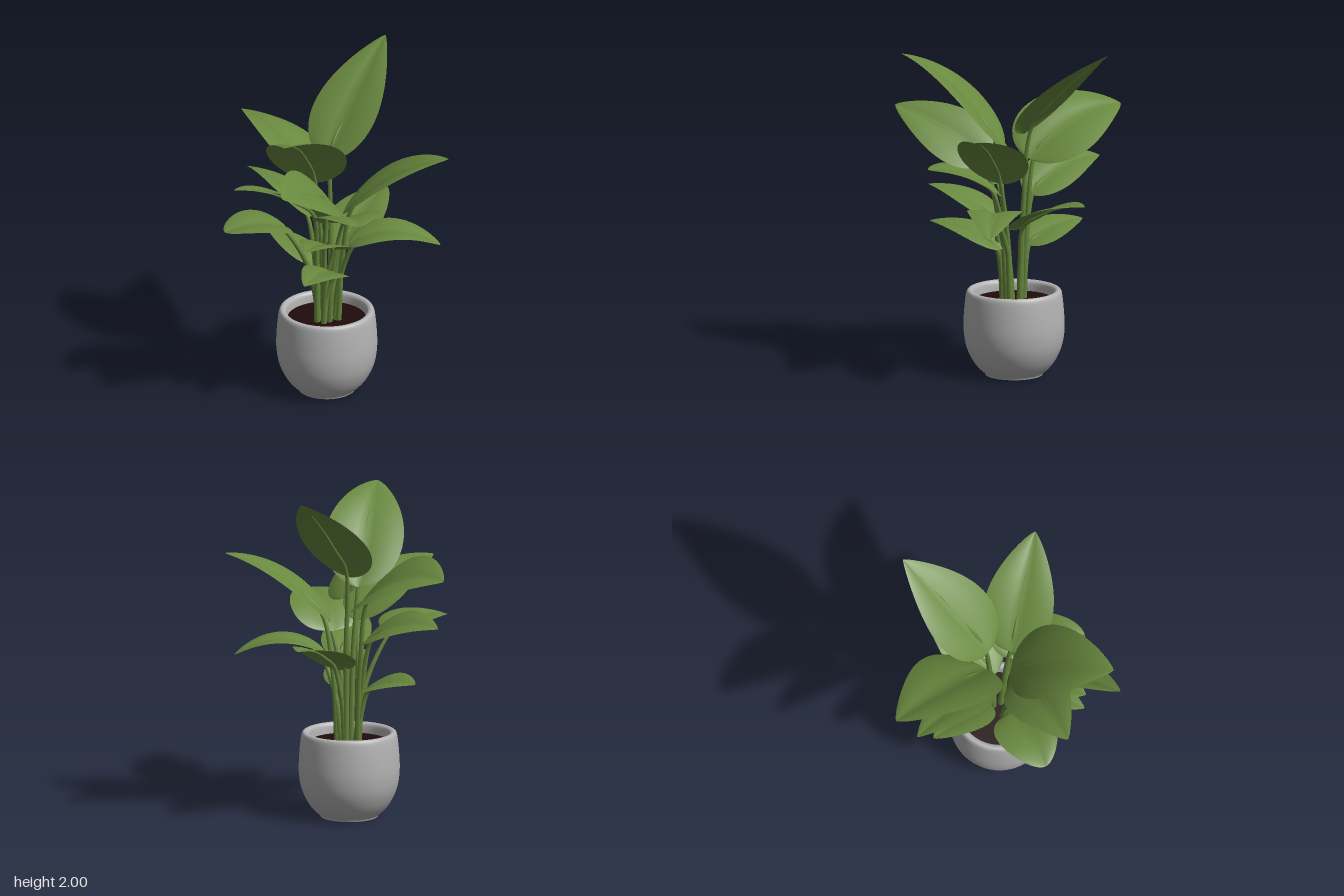
import * as THREE from 'three';

const V = (x, y, z) => new THREE.Vector3(x, y, z);
const UP = V(0, 1, 0);
const CX = 0.03, CZ = 0.075; // pot axis

const mat = (name, color, side = THREE.FrontSide) => {
  const m = new THREE.MeshStandardMaterial({ color, side });
  m.name = name;
  return m;
};

// base point, tip point, full width, arch height, roll (positive lowers the right-hand edge),
// taper (small values give a blunt tip)
const LEAVES = [
  { base: [0.05, 1.44, 0.02], tip: [0.565, 2.0, -0.33], width: 0.43, arch: 0.08, roll: 0, taper: 0.85 },
  { base: [0.01, 1.28, -0.02], tip: [-0.2, 1.52, -0.65], width: 0.53, arch: 0.16, roll: 0.4, taper: 0.75 },
  { base: [-0.05, 1.35, 0.12], tip: [-0.45, 1.85, 0.61], width: 0.46, arch: 0.18, roll: 0.15, taper: 0.8 },
  { base: [0.1, 1.16, 0.17], tip: [0.62, 1.55, 0.51], width: 0.41, arch: 0.14, roll: 0, taper: 0.8 },
  { base: [-0.01, 1.27, 0.22], tip: [-0.48, 1.54, 0.64], width: 0.38, arch: 0.07, roll: -0.6, taper: 0.75 },
  { base: [-0.05, 1.15, 0.18], tip: [-0.63, 1.46, 0.26], width: 0.39, arch: 0.12, roll: 0.2, taper: 0.8 },
  { base: [-0.23, 1.08, 0.08], tip: [-0.63, 1.13, 0.12], width: 0.37, arch: 0.07, roll: 0, taper: 0.55 },
  { base: [0.04, 0.93, 0.18], tip: [-0.28, 1.1, 0.5], width: 0.29, arch: 0.08, roll: 0, taper: 0.8 },
  { base: [0.08, 1.09, 0.18], tip: [0.02, 1.26, 0.6], width: 0.41, arch: 0.1, roll: 0, taper: 0.55 },
  { base: [0.06, 0.76, 0.16], tip: [-0.28, 0.88, 0.49], width: 0.25, arch: 0.08, roll: -0.12, taper: 0.75 },
  { base: [0.12, 0.96, 0.2], tip: [0.61, 0.96, 0.41], width: 0.33, arch: 0.17, roll: 0, taper: 0.65 },
  { base: [-0.02, 1.06, -0.03], tip: [-0.23, 1.21, -0.53], width: 0.32, arch: 0.12, roll: 0.38, taper: 0.8 },
  { base: [0.1, 0.88, 0.08], tip: [0.52, 1.09, -0.2], width: 0.35, arch: 0.1, roll: 0, taper: 0.75 },
  { base: [-0.02, 0.76, -0.01], tip: [-0.15, 0.86, -0.4], width: 0.27, arch: 0.06, roll: 0.25, taper: 0.75 },
];

// Midline of a blade: rises, then flattens towards the tip
function midline({ base, tip, arch }) {
  const a = V(...base), b = V(...tip);
  const control = a.clone().lerp(b, 0.5).addScaledVector(UP, arch);
  return new THREE.QuadraticBezierCurve3(a, control, b);
}

// Local side and normal directions on the blade
function frame(curve, t, roll) {
  const T = curve.getTangent(t);
  const s = T.clone().cross(UP).normalize();
  const n = s.clone().cross(T).normalize();
  const side = s.clone().multiplyScalar(Math.cos(roll)).addScaledVector(n, -Math.sin(roll));
  return { side, normal: side.clone().cross(T).normalize() };
}

// Ovate blade with rounded base, pointed tip and a shallow fold along the midrib
function bladeGeometry(leaf) {
  const rows = 28, cols = 10;
  const curve = midline(leaf), pos = [], idx = [];
  for (let i = 0; i <= rows; i++) {
    const t = (1 - Math.cos(Math.PI * i / rows)) / 2;
    const p = curve.getPoint(t);
    const { side, normal } = frame(curve, t, leaf.roll);
    const half = leaf.width / 2 * Math.pow(Math.max(0, Math.sin(Math.PI * Math.pow(t, 0.62))), leaf.taper);
    for (let j = 0; j <= cols; j++) {
      const u = j / cols * 2 - 1;
      const lift = half * (0.3 * Math.abs(u) - 0.22 * u * u);
      const q = p.clone().addScaledVector(side, u * half).addScaledVector(normal, lift);
      pos.push(q.x, q.y, q.z);
      if (i < rows && j < cols) {
        const a = i * (cols + 1) + j, b = a + cols + 1;
        idx.push(a, a + 1, b, a + 1, b + 1, b);
      }
    }
  }
  const g = new THREE.BufferGeometry();
  g.setAttribute('position', new THREE.Float32BufferAttribute(pos, 3));
  g.setIndex(idx);
  g.computeVertexNormals();
  return g;
}

// Stem from the soil that runs on under the blade as a tapering midrib
function stemGeometry(leaf, i) {
  const curve = midline(leaf);
  const tip = V(...leaf.tip);
  const out = Math.atan2(tip.z - CZ, tip.x - CX);
  const r = 0.045 + 0.025 * (i % 2);
  const root = V(CX + r * Math.cos(out), 0.44, CZ + r * Math.sin(out));
  const base = curve.getPoint(0.08);
  const middle = root.clone().lerp(base, 0.55);
  middle.x = root.x + (base.x - root.x) * 0.3;
  middle.z = root.z + (base.z - root.z) * 0.3;
  const under = (t, d) => curve.getPoint(t).addScaledVector(frame(curve, t, leaf.roll).normal, -d);
  const path = new THREE.CatmullRomCurve3(
    [root, middle, under(0.08, 0.01), under(0.3, 0.008), under(0.55, 0.004), under(0.8, 0.002)]);
  const segs = 36, sides = 8;
  const g = new THREE.TubeGeometry(path, segs, 0.019, sides);
  const p = g.attributes.position, v = V(0, 0, 0);
  for (let k = 0; k <= segs; k++) {
    const c = path.getPointAt(k / segs);
    const scale = 1 - 0.85 * Math.pow(k / segs, 1.5);
    for (let j = 0; j <= sides; j++) {
      const n = k * (sides + 1) + j;
      v.fromBufferAttribute(p, n).sub(c).multiplyScalar(scale).add(c);
      p.setXYZ(n, v.x, v.y, v.z);
    }
  }
  return g;
}

export function createModel() {
  const model = new THREE.Group();
  model.name = 'pottedPlant';
  const leafMat = mat('leafGreen', 0x69893f, THREE.DoubleSide);
  const stemMat = mat('stemGreen', 0x64843b);
  const potMat = mat('potGrey', 0xb2b2b2);
  const soilMat = mat('soilBrown', 0x200b0c);

  const add = (parent, name, geometry, material) => {
    const m = new THREE.Mesh(geometry, material);
    m.name = name;
    parent.add(m);
    return m;
  };

  // Rounded pot: smooth outer wall, rolled rim, inner wall
  const wall = new THREE.SplineCurve([
    [0.172, 0.01], [0.215, 0.05], [0.252, 0.105], [0.282, 0.18], [0.295, 0.27],
    [0.293, 0.36], [0.285, 0.45], [0.277, 0.495], [0.262, 0.508], [0.243, 0.502],
    [0.234, 0.48], [0.23, 0.42],
  ].map(([x, y]) => new THREE.Vector2(x, y))).getPoints(44);
  const pot = new THREE.Group();
  pot.name = 'pot';
  pot.position.set(CX, 0, CZ);
  model.add(pot);
  add(pot, 'potWall', new THREE.LatheGeometry(wall, 56), potMat);
  add(pot, 'potFoot', new THREE.CylinderGeometry(0.173, 0.168, 0.013, 56), potMat).position.y = 0.0065;
  add(pot, 'soil', new THREE.CylinderGeometry(0.232, 0.232, 0.02, 48), soilMat).position.y = 0.435;

  // Leaves, each with its own stem
  LEAVES.forEach((leaf, i) => {
    const g = new THREE.Group();
    g.name = `leaf${i + 1}`;
    add(g, 'blade', bladeGeometry(leaf), leafMat);
    add(g, 'stem', stemGeometry(leaf, i), stemMat);
    model.add(g);
  });
  return model;
}
